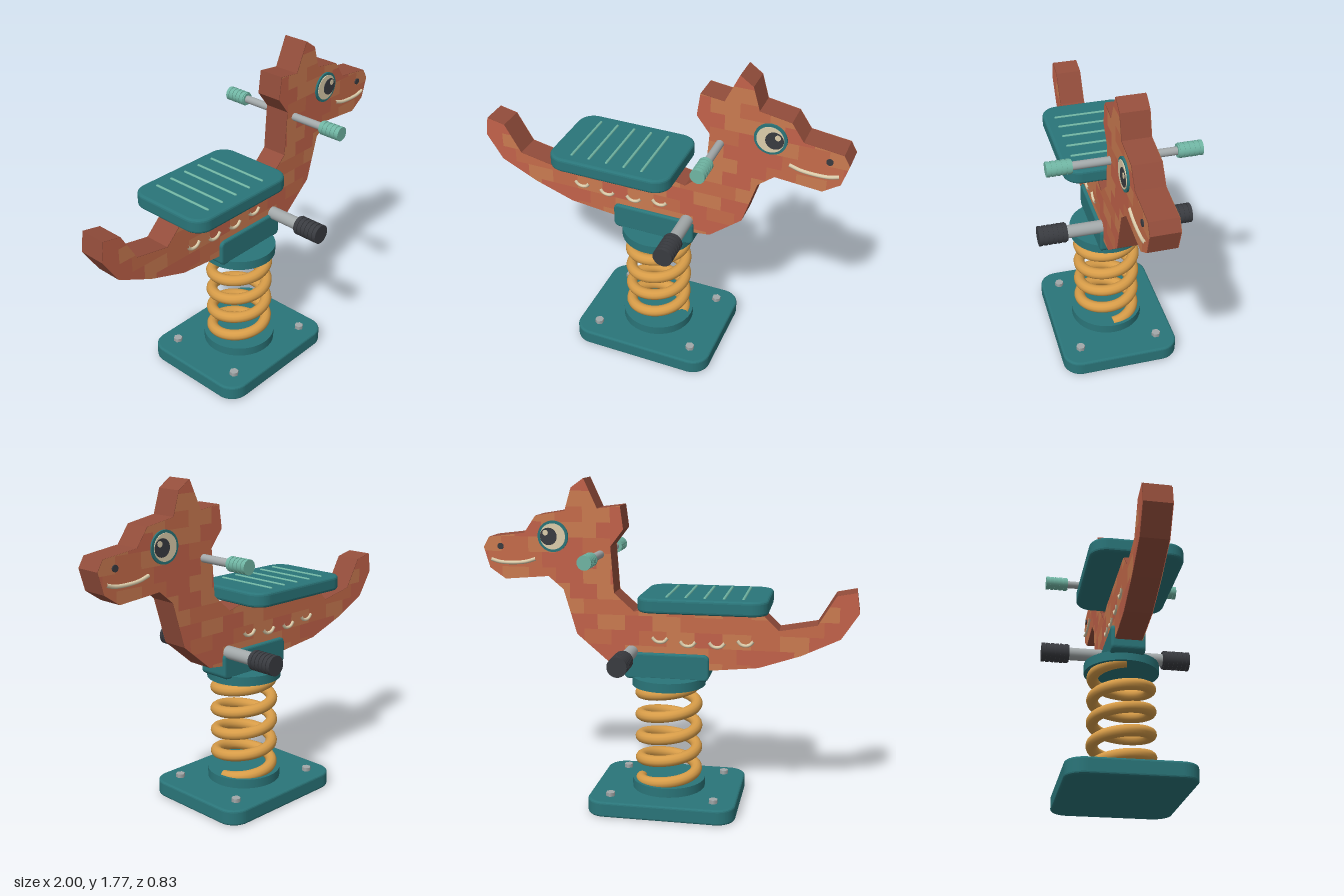
import * as THREE from 'three';
import { mergeGeometries } from 'three/addons/utils/BufferGeometryUtils.js';

const mat = (name, color, side = THREE.FrontSide) => {
  const m = new THREE.MeshStandardMaterial({ color, side });
  m.name = name;
  return m;
};

// Side silhouette of the animal: tail, back, neck, ears, snout, chest, belly
const OUTLINE = [
  [-0.984, 1.214], [-0.882, 1.193], [-0.79, 1.037], [-0.594, 1.0], [-0.49, 1.1], [0.05, 1.1],
  [0.176, 1.075], [0.283, 1.171], [0.3, 1.417], [0.23, 1.508], [0.246, 1.631], [0.369, 1.615],
  [0.44, 1.77], [0.508, 1.722], [0.545, 1.6], [0.706, 1.572], [0.77, 1.48], [0.968, 1.455],
  [1.0, 1.4], [0.968, 1.289], [0.882, 1.23], [0.642, 1.251], [0.56, 1.182], [0.49, 0.941],
  [0.32, 0.797], [0.0, 0.755], [-0.23, 0.77], [-0.49, 0.797], [-0.71, 0.872], [-0.91, 0.968], [-1.0, 1.107],
];

// Keep the part of a polygon where sign * (coordinate - limit) >= 0
function clip(poly, axis, limit, sign) {
  const out = [];
  poly.forEach((b, i) => {
    const a = poly[(i + poly.length - 1) % poly.length];
    const da = sign * (a[axis] - limit), db = sign * (b[axis] - limit);
    if (da * db < 0) {
      const t = da / (da - db);
      out.push([a[0] + t * (b[0] - a[0]), a[1] + t * (b[1] - a[1])]);
    }
    if (db >= 0) out.push(b);
  });
  return out;
}

const toShape = (pts) => new THREE.Shape(pts.map((p) => new THREE.Vector2(p[0], p[1])));

// Rounded rectangle extruded along z with a softened edge, centred
function roundedPlate(w, h, depth, r, b) {
  const x = w / 2 - b, y = h / 2 - b, q = r - b;
  const s = new THREE.Shape();
  s.absarc(x - q, y - q, q, 0, Math.PI / 2);
  s.absarc(-x + q, y - q, q, Math.PI / 2, Math.PI);
  s.absarc(-x + q, -y + q, q, Math.PI, Math.PI * 1.5);
  s.absarc(x - q, -y + q, q, Math.PI * 1.5, Math.PI * 2);
  const g = new THREE.ExtrudeGeometry(s, {
    depth: depth - 2 * b, bevelEnabled: true, bevelSize: b, bevelThickness: b, bevelSegments: 3, curveSegments: 8,
  });
  return g.translate(0, 0, b - depth / 2);
}

export function createModel() {
  const model = new THREE.Group();
  model.name = 'springRider';
  const teal = mat('teal', 0x2a7579), mint = mat('mint', 0x70b5a3), steel = mat('steel', 0xa2a8a9);
  const black = mat('rubber black', 0x393b40), gold = mat('spring yellow', 0xd79c48);
  const cream = mat('cream', 0xdccdab), core = mat('brick side', 0x934d3b);
  const bricks = [
    mat('brick red', 0xc2624a, THREE.DoubleSide),
    mat('brick orange', 0xca7a50, THREE.DoubleSide),
    mat('brick terracotta', 0xc56b4a, THREE.DoubleSide),
  ];

  const add = (name, geo, material, x = 0, y = 0, z = 0, parent = model) => {
    const m = new THREE.Mesh(geo, material);
    m.name = name;
    m.position.set(x, y, z);
    parent.add(m);
    return m;
  };
  const disc = (r, h, n = 32) => new THREE.CylinderGeometry(r, r, h, n);
  const zDisc = (r, h, n = 32) => disc(r, h, n).rotateX(Math.PI / 2);
  const tube = (pts, r) => new THREE.TubeGeometry(
    new THREE.CatmullRomCurve3(pts.map((p) => new THREE.Vector3(p[0], p[1], 0))), 16, r, 8);

  // Base plate with four bolts
  add('basePlate', roundedPlate(0.8, 0.65, 0.085, 0.1, 0.012).rotateX(-Math.PI / 2), teal, 0, 0.0425, 0);
  for (const x of [-0.28, 0.28]) for (const z of [-0.22, 0.22]) {
    add('bolt', disc(0.025, 0.022, 6), steel, x, 0.095, z);
  }

  // Spring between two round collars
  add('lowerCollar', disc(0.2, 0.05, 40), teal, 0, 0.11, 0);
  add('upperCollar', disc(0.2, 0.05, 40), teal, 0, 0.695, 0);
  const coil = [];
  const turns = 4.5, steps = 108;
  for (let i = 0; i <= steps; i++) {
    const t = i / steps, a = t * turns * Math.PI * 2;
    coil.push(new THREE.Vector3(0.153 * Math.cos(a), 0.12 + 0.56 * t, -0.153 * Math.sin(a)));
  }
  add('spring', new THREE.TubeGeometry(new THREE.CatmullRomCurve3(coil), 220, 0.031, 12), gold);
  add('saddleBlock', roundedPlate(0.46, 0.145, 0.18, 0.03, 0.012), teal, 0, 0.782, 0);

  // Body panel
  const slab = new THREE.ExtrudeGeometry(toShape(OUTLINE), { depth: 0.14, bevelEnabled: false });
  add('body', slab.translate(0, 0, -0.07), core);

  // Brick facing on both sides
  let seed = 11;
  const random = () => (seed = (seed * 16807) % 2147483647) / 2147483647;
  const faces = [[], [], []];
  const rowH = 0.0815, brickW = 0.15;
  for (let row = -4; row < 10; row++) {
    const y = 1.053 + row * rowH;
    const strip = clip(clip(OUTLINE, 1, y, 1), 1, y + rowH, -1);
    for (let x = -1.05 - (row & 1) * brickW / 2; x < 1; x += brickW) {
      const kind = Math.floor(random() * 3);
      const piece = clip(clip(strip, 0, x, 1), 0, x + brickW, -1);
      if (piece.length > 2 && Math.abs(THREE.ShapeUtils.area(piece.map((p) => ({ x: p[0], y: p[1] })))) > 1e-5) {
        faces[kind].push(new THREE.ShapeGeometry(toShape(piece)));
      }
    }
  }
  faces.forEach((list, i) => {
    const g = mergeGeometries(list);
    add('brickFront', g, bricks[i], 0, 0, 0.0725);
    add('brickBack', g, bricks[i], 0, 0, -0.0725);
  });

  // Seat with ribs
  add('seat', roundedPlate(0.68, 0.485, 0.078, 0.09, 0.015).rotateX(-Math.PI / 2), teal, -0.205, 1.139, 0);
  for (let i = 0; i < 5; i++) {
    const rib = new THREE.CapsuleGeometry(0.008, 0.355, 4, 8).rotateX(Math.PI / 2);
    add('seatRib', rib, mint, -0.417 + i * 0.099, 1.177, 0);
  }

  // Cross bars with ridged grips: hand bar and foot bar
  const bar = (name, x, y, rodR, gripR, end, rings, gripMat) => {
    const g = new THREE.Group();
    g.name = name;
    g.position.set(x, y, 0);
    model.add(g);
    add('rod', zDisc(rodR, 2 * end - 0.04, 24), steel, 0, 0, 0, g);
    const start = 0.262, pitch = (end - start) / rings;
    for (const s of [-1, 1]) {
      add('grip', zDisc(gripR * 0.91, end - start, 24), gripMat, 0, 0, s * (start + end) / 2, g);
      for (let i = 0; i < rings; i++) {
        add('gripRing', zDisc(gripR, pitch * 0.72, 24), gripMat, 0, 0, s * (start + (i + 0.64) * pitch), g);
      }
    }
  };
  bar('handBar', 0.355, 1.375, 0.021, 0.038, 0.388, 5, mint);
  bar('footBar', 0.19, 0.855, 0.035, 0.053, 0.413, 6, black);

  // Face and scale marks on each side
  for (const s of [-1, 1]) {
    add('eyeRim', zDisc(0.083, 0.014, 40), teal, 0.61, 1.465, s * 0.075);
    add('eyeWhite', zDisc(0.069, 0.006, 40), cream, 0.61, 1.465, s * 0.083);
    add('pupil', zDisc(0.046, 0.005, 32), black, 0.632, 1.465, s * 0.0865);
    add('eyeGlint', zDisc(0.015, 0.004, 20), cream, 0.648, 1.485, s * 0.089);
    add('nostril', zDisc(0.017, 0.008, 20), black, 0.904, 1.406, s * 0.075);
    const mouth = [[0.71, 1.343], [0.765, 1.326], [0.84, 1.319], [0.91, 1.322], [0.957, 1.335]];
    add('mouth', tube(mouth, 0.01), cream, 0, 0, s * 0.075);
    [[-0.42, 0.914], [-0.27, 0.898], [-0.115, 0.898], [0.035, 0.914]].forEach(([x, y]) => {
      const arc = [[-0.042, 0.026], [-0.024, 0.006], [0, 0], [0.024, 0.006], [0.042, 0.026]];
      add('scaleMark', tube(arc, 0.009), cream, x, y, s * 0.075);
    });
  }
  return model;
}
